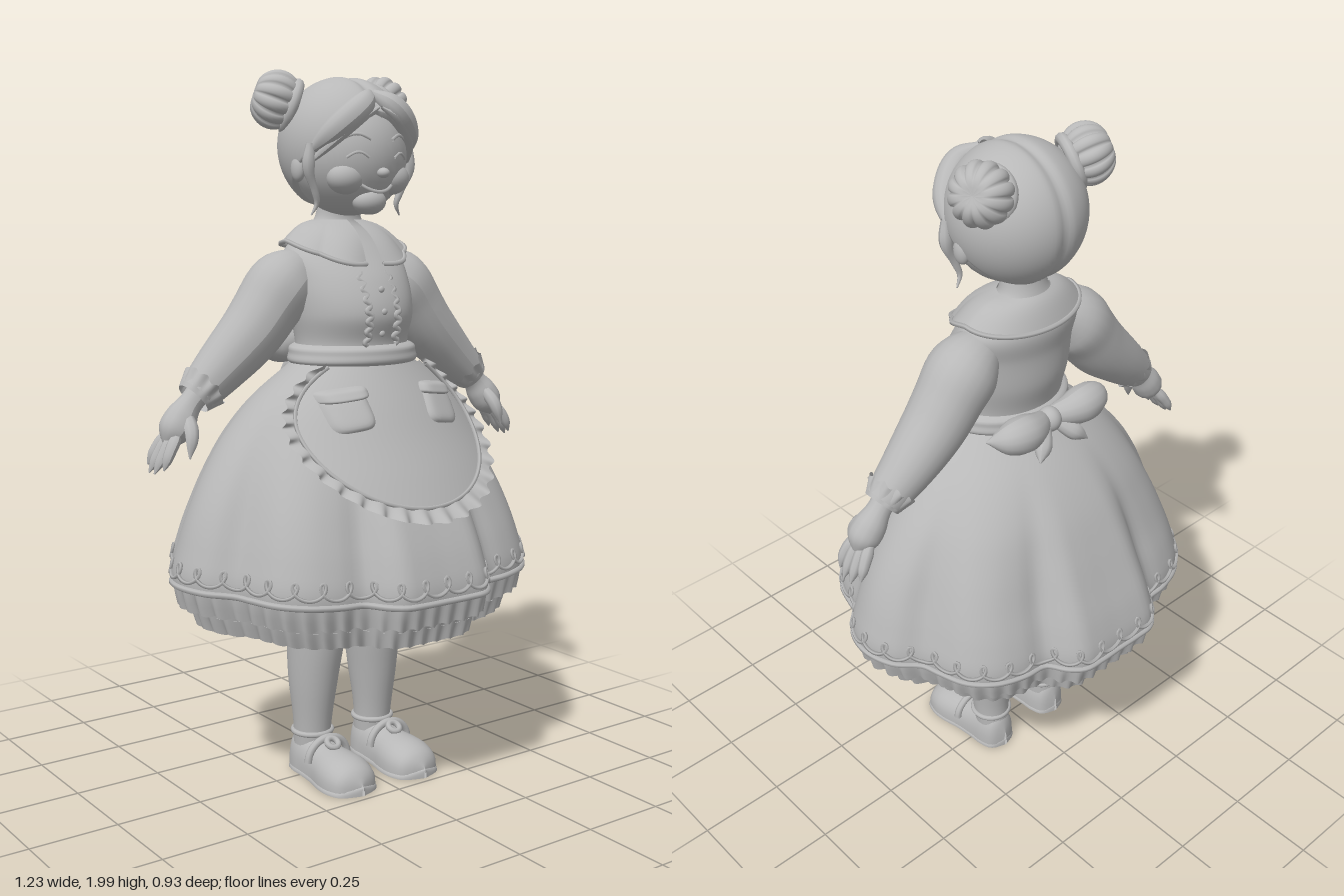
import * as THREE from 'three';

const TAU = Math.PI * 2;
const { sin, cos, abs, sqrt, max, PI } = Math;
const V = (x, y, z) => new THREE.Vector3(x, y, z);

// Smooth lookup: rows are [key, value, value, ...] with rising keys
function spline(rows) {
  const it = new THREE.CubicInterpolant(rows.map(r => r[0]), rows.flatMap(r => r.slice(1)), rows[0].length - 1);
  return t => [...it.evaluate(t)];
}

// Grid surface from fn(u, v) -> Vector3; closed wraps around in u
function sheet(fn, nu, nv, closed = false) {
  const pos = [], idx = [], w = closed ? nu : nu + 1;
  for (let j = 0; j <= nv; j++) for (let i = 0; i < w; i++) pos.push(...fn(i / nu, j / nv).toArray());
  for (let j = 0; j < nv; j++) for (let i = 0; i < nu; i++) {
    const a = j * w + i, b = j * w + (i + 1) % w;
    idx.push(a, b, a + w, b, b + w, a + w);
  }
  const g = new THREE.BufferGeometry();
  g.setAttribute('position', new THREE.Float32BufferAttribute(pos, 3));
  g.setIndex(idx);
  g.computeVertexNormals();
  return g;
}

// Stack of ellipses; rows are [y, rx, rz, cx, cz]
function loft(rows, nu = 40, nv = 30) {
  const f = spline(rows), y0 = rows[0][0], y1 = rows[rows.length - 1][0];
  return sheet((u, v) => {
    const y = y0 + (y1 - y0) * v, [rx, rz, cx, cz] = f(y);
    return V(cx + rx * sin(u * TAU), y, cz + rz * cos(u * TAU));
  }, nu, nv, true);
}

// Tube with changing radius along a smooth path
function limb(points, radii, segs = 24, sides = 14) {
  const path = new THREE.CatmullRomCurve3(points.map(p => V(...p)));
  const r = spline(radii.map((k, i) => [i / (radii.length - 1), k]));
  const g = new THREE.TubeGeometry(path, segs, 1, sides), p = g.attributes.position, q = V();
  for (let i = 0; i < p.count; i++) {
    const t = Math.floor(i / (sides + 1)) / segs, c = path.getPointAt(t);
    q.fromBufferAttribute(p, i).sub(c).multiplyScalar(max(0.001, r(t)[0])).add(c);
    p.setXYZ(i, q.x, q.y, q.z);
  }
  g.computeVertexNormals();
  return g;
}

function wire(points, radius, segs, closed = false, sides = 5) {
  const c = new THREE.CatmullRomCurve3(points, closed);
  c.arcLengthDivisions = points.length * 6;
  return new THREE.TubeGeometry(c, segs, radius, sides, closed);
}
const sample = (n, fn) => Array.from({ length: n }, (_, i) => fn(i / n));

function ball(x, y, z, rx, ry, rz) {
  return new THREE.SphereGeometry(1, 32, 20).scale(rx, ry, rz).translate(x, y, z);
}

// Fluted hem outline, mirrored from one quarter
const quarter = [[0, .455], [.07, .456], [.13, .452], [.17, .42], [.205, .37], [.28, .362], [.36, .335], [.42, .28], [.45, .2], [.465, .15], [.525, .09], [.55, 0]];
const half = [...quarter, ...quarter.slice(0, -1).reverse().map(([x, z]) => [x, -z])];
const hem = new THREE.CatmullRomCurve3([...half, ...half.slice(1, -1).reverse().map(([x, z]) => [-x, z])].map(([x, z]) => V(x, 0, z)), true);
hem.arcLengthDivisions = 600;
const skirtProfile = spline([[.45, .49, .40, 0], [.55, .535, .435, 0], [.62, .553, .45, 0], [.7, .535, .43, 0], [.8, .5, .388, 0],
  [.9, .45, .34, -.003], [1, .385, .285, -.005], [1.1, .3, .22, .005], [1.2, .185, .14, .025]]);

function skirtPoint(u, y, scale = 1) {
  const p = hem.getPointAt(((u % 1) + 1) % 1), a = Math.atan2(p.x / .55, p.z / .45), [sx, sz, cz] = skirtProfile(y);
  const k = 1 - THREE.MathUtils.smoothstep(y, .75, 1.17);
  return V(scale * sx * (sin(a) * (1 - k) + k * p.x / .55), y + k * .025 * ((p.x / .55) ** 2 - .4),
    cz + scale * sz * (cos(a) * (1 - k) + k * p.z / .45));
}

// Point lying on the front of the skirt, raised by off
function onFront(x, y, off) {
  const [sx, sz, cz] = skirtProfile(y);
  return V(x, y, cz + (sz + off) * sqrt(max(.03, 1 - (x / (sx + off)) ** 2)));
}
function apronEdge(s) {
  const m = abs(s), a = m / .6 * PI / 2, q = (m - .6) / .4;
  return m < .6 ? [.29 * sin(a), 1.03 - .195 * cos(a)] : [.29 - .13 * q * q, 1.03 + .165 * q];
}

export function createModel() {
  const root = new THREE.Group();
  root.name = 'girlInApronDress';
  const clay = new THREE.MeshStandardMaterial({ color: 0xb8b8b8, side: THREE.DoubleSide });
  clay.name = 'clayGrey';
  const add = (name, geo) => {
    const m = new THREE.Mesh(geo, clay);
    m.name = name;
    root.add(m);
    return m;
  };
  const both = (name, geo) => {
    add(name + 'Left', geo);
    add(name + 'Right', geo).scale.x = -1;
  };

  // Skirt, petticoat ruffles and closed underside
  add('skirt', sheet((u, v) => skirtPoint(u, .6 + .6 * v), 160, 32, true));
  add('skirtHem', wire(sample(160, u => skirtPoint(u, .602)), .009, 240, true, 6));
  [[.535, .64, .985], [.475, .575, .935]].forEach(([y0, y1, s], i) => add('petticoatRuffle' + (i + 1), sheet((u, v) =>
    skirtPoint(u, y0 + (y1 - y0) * v + .004 * cos(u * TAU * 60) * (1 - v), s + (.016 * sin(u * TAU * 60 + i) + .012) * (1 - v)), 480, 4, true)));
  add('skirtUnderside', sheet((u, v) => skirtPoint(u, .52, .94 * v), 120, 3, true));
  // Curling embroidery round the hem
  add('hemEmbroidery', wire(sample(528, t => skirtPoint(t - .007 * sin(TAU * 44 * t), .645 + .022 * cos(TAU * 44 * t), 1.006)), .0055, 1000, true, 4));

  // Apron with frill and pockets
  add('apron', sheet((u, v) => {
    const [x, y] = apronEdge(v);
    return onFront((2 * u - 1) * x, y, .016);
  }, 40, 36));
  add('apronFrill', sheet((u, v) => {
    const s = 2 * u - 1, [ex, ey] = apronEdge(s), x = ex * Math.sign(s), l = Math.hypot(x, ey - 1.05);
    const w = .036 * v * (abs(s) > .6 ? 1 - (abs(s) - .6) * 1.3 : 1);
    const p = onFront(x + x / l * w, ey + (ey - 1.05) / l * w, .02 + .022 * v);
    p.z += .012 * sin(s * PI * 26) * (.3 + .7 * v);
    return p;
  }, 320, 4));
  add('apronSeam', wire(sample(81, t => {
    const s = 2 * t - 1, [x, y] = apronEdge(s);
    return onFront(x * Math.sign(s), y, .022);
  }), .006, 120));
  const patch = (cx, cy, w, h, low, high, tilt) => sheet((u, v) => {
    const c = cos(u * TAU), s = sin(u * TAU), r = 1 - v;
    const px = w * r * Math.sign(c) * abs(c) ** .5, py = h * r * Math.sign(s) * abs(s) ** .5;
    return onFront(cx + px * cos(tilt) - py * sin(tilt), cy + px * sin(tilt) + py * cos(tilt), low + (high - low) * (1 - r ** 6));
  }, 40, 8, true);
  both('pocket', patch(.155, 1.085, .066, .056, .012, .03, -.12));
  both('pocketFlap', patch(.155, 1.125, .068, .018, .02, .042, -.12));

  // Bodice, neck and waistband
  add('bodice', loft([[1.19, .175, .14, 0, .025], [1.25, .168, .137, 0, .018], [1.33, .18, .156, 0, .018], [1.42, .185, .142, 0, 0], [1.5, .178, .115, 0, -.035],
    [1.545, .13, .085, 0, -.045], [1.58, .078, .062, 0, -.05], [1.62, .063, .055, 0, -.045], [1.68, .06, .055, 0, -.04]], 48, 48));
  add('waistband', loft([[1.19, .18, .14, 0, .024], [1.2, .193, .155, 0, .023], [1.222, .19, .155, 0, .022], [1.242, .184, .15, 0, .02], [1.25, .165, .133, 0, .018]], 48, 12));
  both('placketFrill', wire(sample(40, t => V(.047 + .008 * sin(t * TAU * 7), 1.25 + .2 * t, .006 + spline([[0, .15], [.4, .163], [.75, .135], [1, .105]])(t)[0])), .008, 120));
  for (let i = 0; i < 3; i++) add('button' + (i + 1), ball(0, 1.28 + i * .06, [.162, .172, .158][i], .009, .009, .006));

  // Scalloped round collar
  const collar = (s, v) => {
    const a = TAU * (.025 + .95 * s), c = cos(a), f = max(0, c);
    const k = 1 + .1 * f * (abs(sin(s * PI * 8)) - .4);
    const o = V(.185 * sin(a) * k, 1.53 - .065 * f ** 1.3 * k - .02 * max(0, -c), -.035 + (c > 0 ? .172 * k : .123) * c);
    const p = o.lerp(V(.076 * sin(a), 1.588, -.05 + .062 * c), v);
    p.y += .014 * sin(PI * v);
    p.z += .012 * sin(PI * v) * f;
    return p;
  };
  add('collar', sheet(collar, 120, 8));
  add('collarEdge', wire(sample(121, t => collar(t * 121 / 120, 0)), .007, 200));

  // Sash bow at the back
  both('bowLoop', limb([[0, 1.225, -.135], [.07, 1.23, -.165], [.15, 1.235, -.165], [.212, 1.235, -.135]], [.018, .038, .052, .042, .001]));
  both('bowTail', limb([[.01, 1.22, -.15], [.05, 1.185, -.185], [.09, 1.15, -.215]], [.012, .022, .024, .001], 12, 10));
  add('bowKnot', ball(0, 1.225, -.155, .032, .036, .035));

  // Sleeves, cuffs and hands
  both('sleeve', limb([[.1, 1.47, -.035], [.19, 1.415, -.035], [.3, 1.285, -.035], [.39, 1.2, -.035], [.475, 1.125, -.03]], [.04, .094, .092, .085, .072, .055], 28, 20));
  const cuffDir = V(.75, -.66, 0).normalize(), cuffUp = V(.66, .75, 0).normalize();
  both('cuffFrill', sheet((u, v) => {
    const r = .05 + .016 * v + .004 * sin(u * TAU * 10) * v;
    return V(.475, 1.125, -.03).addScaledVector(cuffDir, .012 - .05 * v + .005 * cos(u * TAU * 10) * v).addScaledVector(cuffUp, r * cos(u * TAU)).add(V(0, 0, r * sin(u * TAU)));
  }, 80, 4, true));
  both('palm', limb([[.465, 1.135, -.03], [.51, 1.085, -.03], [.545, 1.035, -.025], [.572, .99, -.025]], [.034, .034, .045, .042, .005]));
  [[-.075, .6, .945], [-.045, .612, .928], [-.015, .612, .928], [.015, .6, .94]].forEach(([z, x, y], i) =>
    both('finger' + (i + 1), limb([[.548, 1.03, z * .6 - .01], [.58, .985, z * .9], [x, y, z]], [.012, .017, .016, .013, .002], 12, 8)));
  both('thumb', limb([[.515, 1.075, -.005], [.525, 1.03, .035], [.54, .97, .048]], [.015, .02, .016, .002], 12, 8));

  // Legs and shoes
  both('leg', loft([[.08, .052, .055, .108, -.03], [.15, .056, .058, .108, -.026], [.27, .07, .076, .106, -.025], [.4, .082, .09, .1, -.02], [.54, .088, .095, .097, -.018]], 28, 20));
  const shoe = spline([[-.096, .004, .05], [-.085, .035, .1], [-.05, .056, .122], [0, .06, .112], [.06, .066, .098], [.12, .078, .094], [.17, .076, .086], [.21, .05, .06], [.226, .004, .03]]);
  const shoeShape = (y0, top, grow) => sheet((u, v) => {
    const z = .065 - .161 * cos(v * PI), [w, h] = shoe(z), a = u * TAU, s = sin(a);
    return V(.11 + (w * grow) * cos(a), y0 + (top ?? h - y0) * (s > 0 ? s ** .8 : 0), z * grow);
  }, 32, 28, true);
  both('shoe', shoeShape(.012, null, 1));
  both('sole', shoeShape(0, .025, 1.02));
  both('shoeStrap', wire(sample(13, t => { const a = PI * t * 13 / 12; return V(.11 + .068 * cos(a), .055 + .062 * sin(a), .055); }), .011, 24, false, 8));
  both('shoeRosette', new THREE.TorusGeometry(.017, .009, 8, 16).rotateX(-1).translate(.11, .108, .08));
  both('shoeOpening', new THREE.TorusGeometry(.056, .008, 8, 28).rotateX(PI / 2).translate(.108, .118, -.026));

  // Head and face
  add('head', ball(0, 1.765, .003, .163, .167, .16));
  both('cheek', ball(.075, 1.7, .095, .055, .045, .048));
  add('chin', ball(0, 1.637, .1, .05, .036, .04));
  add('nose', ball(0, 1.712, .165, .017, .014, .018));
  both('ear', ball(.165, 1.725, .0, .018, .036, .025));
  const facePoint = (x, y) => V(x, y, .004 + .16 * sqrt(max(0, 1 - (x / .163) ** 2 - ((y - 1.765) / .167) ** 2)));
  both('closedEye', wire(sample(9, t => facePoint(.042 + .062 * t, 1.752 + .014 * sin(PI * t * 9 / 8))), .004, 20));
  both('eyebrow', wire(sample(9, t => facePoint(.035 + .08 * t, 1.8 + .014 * sin(PI * t * 9 / 8))), .005, 20));
  add('smile', wire(sample(11, t => { const x = (t * 1.1 - .5) * .1; return V(x, 1.662 + 7 * x * x, .148 - 6 * x * x); }), .005, 24));

  // Hair cap with centre parting; its lower edge rises over the forehead
  const hairLine = spline([[0, 1.1], [.5, 1.32], [1.1, 1.7], [1.6, 2.1], [2.2, 2.5], [PI, 2.75]]);
  const hair = (u, v) => {
    const a = u * TAU, m = a > PI ? TAU - a : a, phi = hairLine(m)[0] * (1 - v);
    const x = sin(phi) * sin(a), part = 1 - .045 * Math.exp(-((x / .09) ** 2)) * (cos(a) > 0 || phi < 2.6 ? 1 : 0), k = (v < .01 ? .92 : 1) * part;
    const z = sin(phi) * cos(a);
    return V(.184 * x * k, 1.79 + .188 * cos(phi) * k, -.02 + .186 * z * k);
  };
  add('hairCap', sheet(hair, 96, 40, true));
  both('fringeSweep', limb([[.006, 1.925, .105], [.05, 1.89, .138], [.115, 1.83, .115], [.165, 1.765, .05]], [.012, .033, .036, .028, .006]));
  both('fringeStrand', limb([[.004, 1.885, .15], [.06, 1.855, .152], [.12, 1.8, .118], [.165, 1.735, .05]], [.004, .013, .015, .012, .003], 20, 8));
  both('sideLock', limb([[.165, 1.79, .06], [.168, 1.72, .055], [.145, 1.665, .05], [.135, 1.63, .045], [.15, 1.6, .04]], [.012, .018, .012, .009, .002], 24, 8));

  // Ribbed buns, pole turned outward
  const bun = sheet((u, v) => {
    const a = u * TAU, p = (v - .5) * PI, r = .078 * (.9 + .16 * sqrt(abs(sin(a * 6)))), dent = 1 - .18 * max(0, sin(p)) ** 12;
    return V(r * cos(p) * sin(a), .072 * sin(p) * dent, r * cos(p) * cos(a));
  }, 96, 24, true);
  const outward = new THREE.Quaternion().setFromUnitVectors(V(0, 1, 0), V(.82, .32, -.42).normalize());
  both('hairBun', bun.applyQuaternion(outward).translate(.178, 1.912, -.09));
  both('bunWrap', new THREE.TorusGeometry(.062, .016, 10, 32).rotateX(PI / 2).applyQuaternion(outward).translate(.14, 1.895, -.072));
  return root;
}
